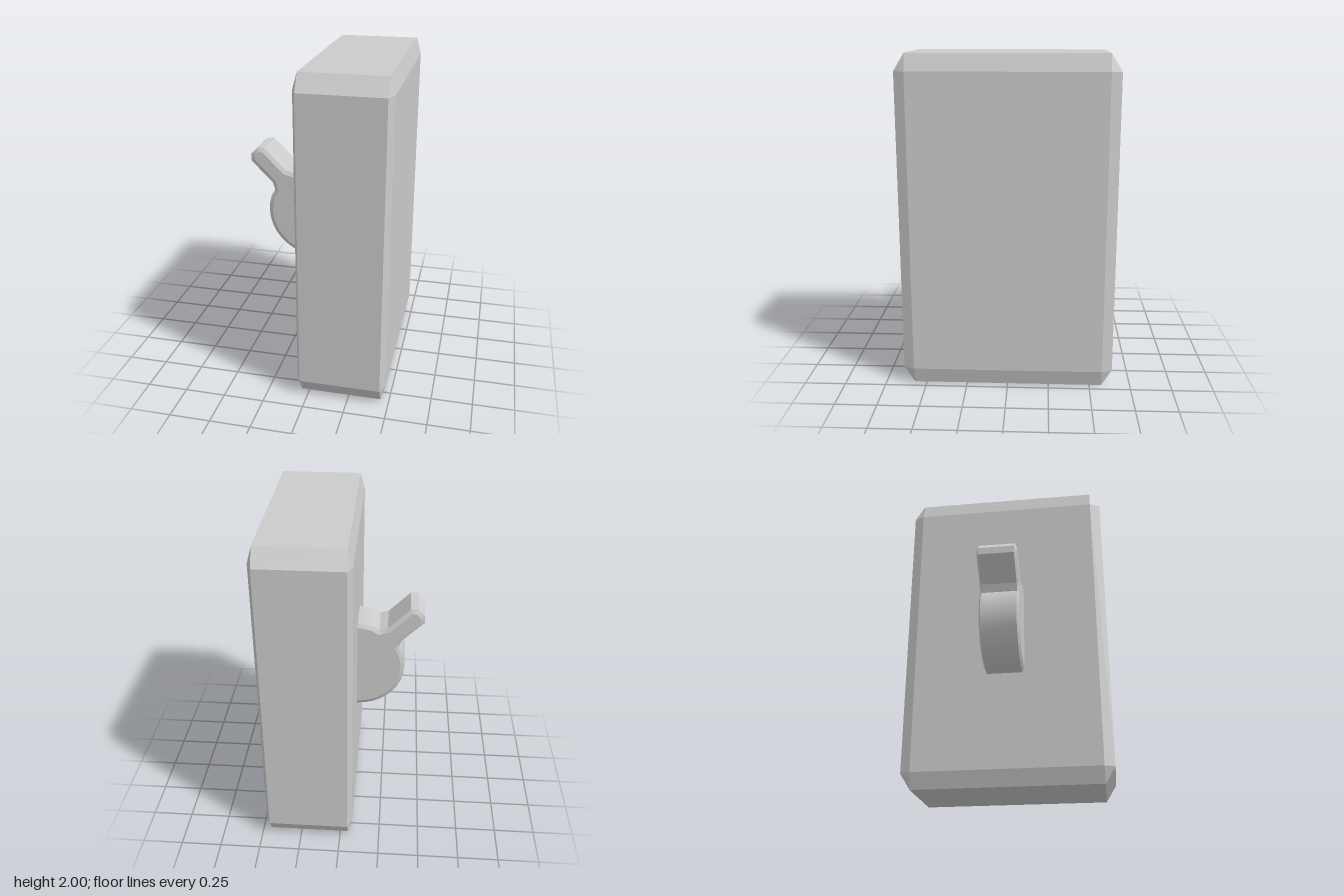
import * as THREE from 'three';
import { ConvexGeometry } from 'three/addons/geometries/ConvexGeometry.js';
import { toCreasedNormals } from 'three/addons/utils/BufferGeometryUtils.js';

const material = new THREE.MeshStandardMaterial({ color: 0xcccccc });

// Box with flat chamfers whose inset differs per axis
function chamferedBox(half, inset) {
  const points = [];
  for (const sx of [-1, 1]) for (const sy of [-1, 1]) for (const sz of [-1, 1]) {
    for (let axis = 0; axis < 3; axis++) {
      const p = [0, 1, 2].map((i) => half[i] - (i === axis ? 0 : inset[i]));
      points.push(new THREE.Vector3(sx * p[0], sy * p[1], sz * p[2]));
    }
  }
  return new ConvexGeometry(points);
}

// Half disc with a diagonal toggle, drawn around the pivot
function switchShape() {
  const r = 0.297, points = [];
  const arc = (from, to, steps) => {
    for (let i = 0; i <= steps; i++) {
      const a = THREE.MathUtils.degToRad(from + (to - from) * i / steps);
      points.push(new THREE.Vector2(r * Math.cos(a), r * Math.sin(a)));
    }
  };
  // Upper half of the toggle; the lower half mirrors it across the diagonal
  const toggle = [[-0.135, 0.257], [-0.185, 0.272], [-0.32, 0.407], [-0.365, 0.407]];
  points.push(new THREE.Vector2(0.06, r));
  arc(90, 109, 2);
  toggle.forEach(([x, y]) => points.push(new THREE.Vector2(x, y)));
  [...toggle].reverse().forEach(([x, y]) => points.push(new THREE.Vector2(-y, -x)));
  arc(161, 270, 11);
  points.push(new THREE.Vector2(0.06, -r));
  return new THREE.Shape(points);
}

export function createModel() {
  const model = new THREE.Group();
  model.name = 'wallSwitch';

  // Chamfered housing
  const housing = new THREE.Mesh(
    chamferedBox([0.276, 1, 0.638], [0.028, 0.1, 0.063]), material);
  housing.name = 'housing';
  housing.position.set(0.2, 1, 0);
  model.add(housing);

  // Rocker with toggle, bevelled on both faces
  const bevel = 0.013, width = 0.246;
  const geometry = new THREE.ExtrudeGeometry(switchShape(), {
    depth: width - 2 * bevel, bevelEnabled: true, bevelSegments: 1,
    bevelThickness: bevel, bevelSize: 0.025, bevelOffset: -0.025,
  });
  geometry.translate(0, 0, bevel - width / 2);
  const lever = new THREE.Mesh(toCreasedNormals(geometry, 0.4), material);
  lever.name = 'switchLever';
  lever.position.set(-0.075, 0.998, -0.004);
  model.add(lever);

  return model;
}
